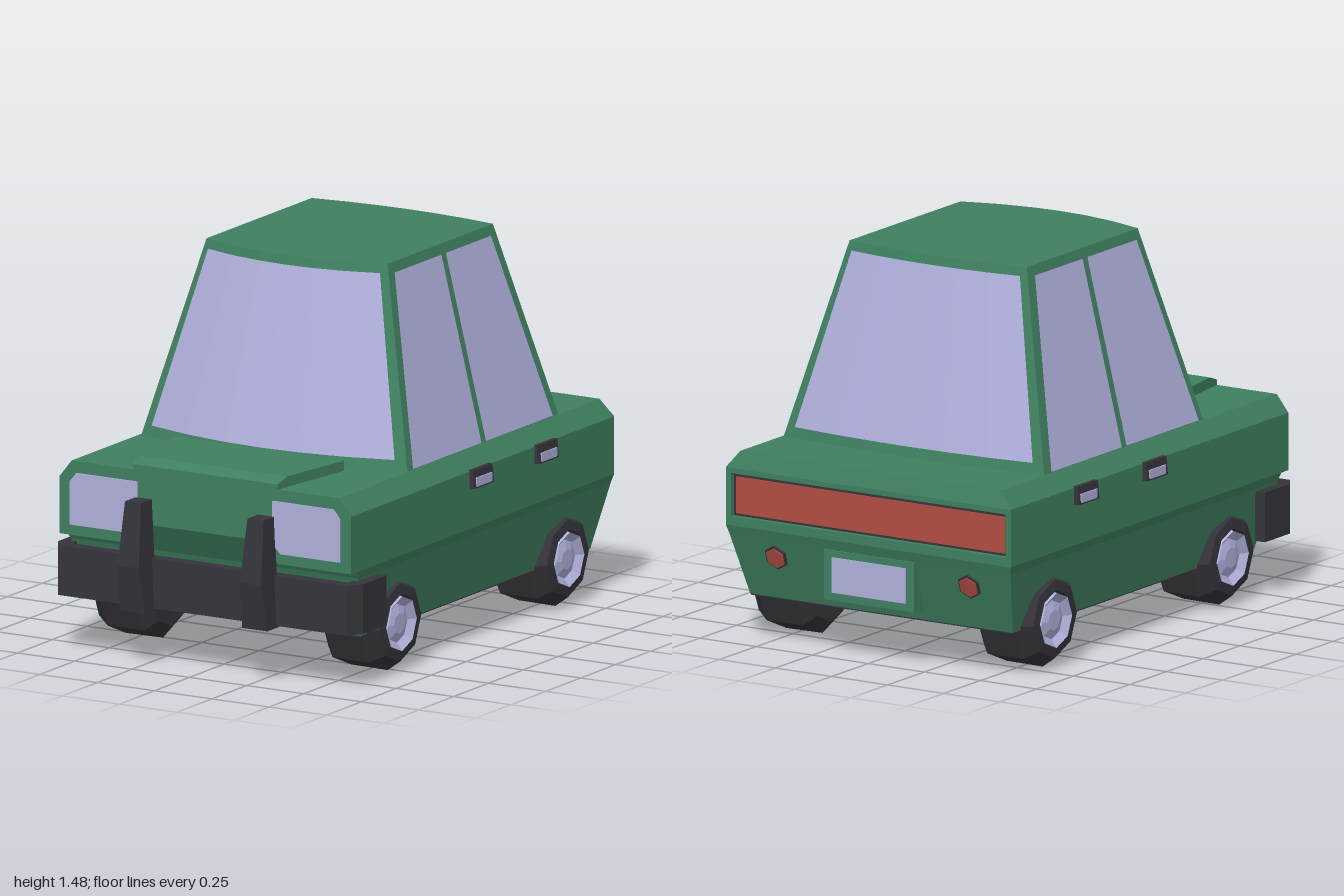
import * as THREE from 'three';

const mat = (name, color) => {
  const m = new THREE.MeshStandardMaterial({ color });
  m.name = name;
  return m;
};
const lerp = THREE.MathUtils.lerp;

// Joins rings of [x, y, z] points with flat faces; cap closes the last ring.
function loft(rings, closed = true, cap = true) {
  const pos = [];
  const tri = (...p) => p.forEach((q) => pos.push(...q));
  const n = rings[0].length;
  for (let r = 0; r + 1 < rings.length; r++) {
    const lo = rings[r], hi = rings[r + 1];
    for (let i = 0; i < (closed ? n : n - 1); i++) {
      const j = (i + 1) % n;
      tri(lo[i], lo[j], hi[j]);
      tri(lo[i], hi[j], hi[i]);
    }
  }
  const top = rings[rings.length - 1];
  if (closed && cap) for (let i = 1; i < n - 1; i++) tri(top[0], top[i], top[i + 1]);
  const g = new THREE.BufferGeometry();
  g.setAttribute('position', new THREE.Float32BufferAttribute(pos, 3));
  g.computeVertexNormals();
  return g;
}

const shapeOf = (pts) => new THREE.Shape(pts.map(([a, b]) => new THREE.Vector2(a, b)));

// Side profile of [z, y] points pulled across x from -0.5 to 0.5, then scaled by a width rule.
function sideProfile(pts, width) {
  const g = new THREE.ExtrudeGeometry(shapeOf(pts), { depth: 1, bevelEnabled: false });
  g.translate(0, 0, -0.5).rotateY(-Math.PI / 2);
  const p = g.attributes.position;
  for (let i = 0; i < p.count; i++) p.setX(i, p.getX(i) * width(p.getY(i), p.getZ(i)));
  g.computeVertexNormals();
  return g;
}

export function createModel() {
  const car = new THREE.Group();
  car.name = 'car';
  const green = mat('green paint', 0x3f8060);
  const black = mat('black trim', 0x36343b);
  const glass = mat('pale glass', 0xb0b0dc);
  const red = mat('red lamp', 0xb24d43);

  const add = (name, geo, material, x = 0, y = 0, z = 0) => {
    const m = new THREE.Mesh(geo, material);
    m.name = name;
    m.position.set(x, y, z);
    car.add(m);
    return m;
  };
  const box = (name, material, x0, x1, y0, y1, z0, z1) =>
    add(name, new THREE.BoxGeometry(x1 - x0, y1 - y0, z1 - z0), material,
      (x0 + x1) / 2, (y0 + y1) / 2, (z0 + z1) / 2);

  // Lower body: [height, half width, front z, rear z], with a channel for the rear lamp
  const levels = [
    [0.175, 0.585, 0.73, -0.91], [0.42, 0.627, 0.82, -0.99], [0.45, 0.635, 0.838, -1],
    [0.485, 0.635, 0.858, -1], [0.485, 0.635, 0.858, -0.975], [0.53, 0.635, 0.885, -0.975],
    [0.65, 0.635, 0.885, -0.975], [0.65, 0.635, 0.885, -1], [0.67, 0.635, 0.885, -1],
    [0.735, 0.583, 0.885, -0.98],
  ];
  add('body', loft(levels.map(([y, w, f, r]) => [[w, y, f], [w, y, r], [-w, y, r], [-w, y, f]])), green);
  box('underside', black, -0.582, 0.582, 0.17, 0.176, -0.908, 0.728);

  // Raised hood panel, narrowing to the front
  add('hood', sideProfile(
    [[0.5, 0.7], [0.887, 0.7], [0.887, 0.755], [0.83, 0.775], [0.5, 0.775]],
    (y, z) => lerp(0.74, 0.63, (z - 0.5) / 0.387)), green);

  // Cabin with bowed front and rear; t runs from its base to the roof, u across
  const front = (u, t, out = 0) => [u * lerp(0.58, 0.395, t), lerp(0.735, 1.475, t),
    lerp(0.39, 0.228, t) + lerp(0.105, 0.075, t) * (1 - u * u) + out];
  const rear = (u, t, out = 0) => [u * lerp(0.58, 0.395, t), lerp(0.735, 1.475, t),
    lerp(-0.69, -0.525, t) - lerp(0.04, 0.035, t) * (1 - u * u) - out];
  const steps = [-1, -0.65, -0.3, 0, 0.3, 0.65, 1];
  const cabinRing = (t) => [...steps.map((u) => front(u, t)), ...steps.map((u) => rear(-u, t))];
  add('cabin', loft([cabinRing(0), cabinRing(1)]), green);

  // Windscreen and rear window
  const spans = [0.055, 0.955];
  add('windscreen', loft(spans.map((t) => steps.map((u) => front(u * 0.93, t, 0.005))), false), glass);
  add('rearWindow', loft(spans.map((t) => steps.map((u) => rear(-u * 0.93, t, 0.005))), false), glass);

  // Side windows: [base front z, base rear z, top front z, top rear z]
  for (const s of [1, -1]) {
    for (const [bf, br, tf, tr] of [[0.355, -0.135, 0.2, -0.135], [-0.167, -0.645, -0.167, -0.49]]) {
      const row = (t, f, r) => {
        const x = s * (lerp(0.58, 0.395, t) + 0.004), y = lerp(0.735, 1.475, t);
        return s > 0 ? [[x, y, f], [x, y, r]] : [[x, y, r], [x, y, f]];
      };
      add('sideWindow', loft([row(0.005, bf, br), row(0.95, tf, tr)], false), glass);
    }
  }

  // Door handles
  for (const s of [1, -1]) {
    for (const z of [-0.035, -0.5]) {
      const handle = sideProfile([[z - 0.07, 0.605], [z + 0.07, 0.605], [z + 0.07, 0.675], [z - 0.07, 0.675]],
        (y) => (y > 0.65 ? 0.03 : 0.044));
      add('doorHandle', handle, black, s * 0.634);
      const grip = new THREE.BoxGeometry(0.006, 0.034, 0.11);
      add('handleGrip', grip, glass, s * 0.655, 0.628, z);
    }
  }

  // Headlights on their housings
  for (const s of [1, -1]) {
    const [a, b] = s > 0 ? [0.3, 0.635] : [-0.635, -0.3];
    box('headlightHousing', green, a, b, 0.45, 0.67, 0.8, 0.886);
    const pts = [[0.295, 0.525], [0.33, 0.49], [0.59, 0.49], [0.59, 0.655], [0.56, 0.69], [0.295, 0.69]];
    const lens = new THREE.ExtrudeGeometry(shapeOf(pts.map(([x, y]) => [s * x, y])),
      { depth: 0.006, bevelEnabled: false });
    add('headlight', lens, glass, 0, 0, 0.885);
  }

  // Front bumper wrapping around the corners
  const half = [[0.665, 0.68], [0.665, 0.85], [0.63, 0.905]];
  const inner = [[0.6, 0.85], [0.62, 0.68]];
  const flip = (pts) => pts.map(([x, z]) => [-x, z]).reverse();
  const bumperOutline = [...half, ...flip(half), ...flip(inner), ...inner];
  const bumper = new THREE.ExtrudeGeometry(shapeOf(bumperOutline), { depth: 0.19, bevelEnabled: false });
  bumper.rotateX(Math.PI / 2);
  add('frontBumper', bumper, black, 0, 0.408, 0);
  for (const s of [1, -1]) {
    add('bumperGuard', sideProfile(
      [[0.885, 0.21], [0.97, 0.21], [1, 0.39], [0.965, 0.63], [0.888, 0.63]],
      (y) => lerp(0.11, 0.07, (y - 0.21) / 0.42)), black, s * 0.267);
  }

  // Rear lamp strip set into its channel
  box('rearLampRecess', black, -0.612, 0.612, 0.485, 0.65, -0.979, -0.97);
  box('rearLamp', red, -0.6, 0.6, 0.495, 0.635, -0.985, -0.976);
  box('rearLampTopEdge', black, -0.612, 0.612, 0.645, 0.65, -0.998, -0.975);
  for (const s of [1, -1]) {
    box('rearLampEnd', green, Math.min(s * 0.612, s * 0.635), Math.max(s * 0.612, s * 0.635),
      0.485, 0.65, -1, -0.97);
    // Round lower lamps
    for (const [r, depth, m] of [[0.05, 0.012, black], [0.042, 0.02, red]]) {
      const lamp = add('lowerRearLamp', new THREE.CylinderGeometry(r, r, depth, 6).toNonIndexed(), m,
        s * 0.43, 0.345, -0.968);
      lamp.geometry.computeVertexNormals();
      lamp.rotation.x = -Math.PI / 2 - 0.33;
    }
  }

  // Number plate and its frame
  box('plateFrame', green, -0.2, 0.2, 0.22, 0.41, -0.995, -0.9);
  box('numberPlate', glass, -0.165, 0.165, 0.25, 0.385, -1, -0.993);

  // Wheels: eight-sided tyre and dished hub
  const turned = (pts) => {
    const g = new THREE.LatheGeometry(pts.map(([r, y]) => new THREE.Vector2(r, y)), 8).toNonIndexed();
    g.rotateZ(-Math.PI / 2);
    g.computeVertexNormals();
    return g;
  };
  const tyre = turned([[0, 0.37], [0.14, 0.37], [0.188, 0.41], [0.19, 0.57], [0.15, 0.625], [0.11, 0.63], [0.1, 0.6]]);
  const hub = turned([[0.112, 0.6], [0.105, 0.633], [0.075, 0.61], [0.04, 0.622], [0, 0.622]]);
  for (const z of [0.515, -0.685]) {
    for (const s of [1, -1]) {
      const tyreMesh = add('tyre', tyre, black, 0, 0.19, z);
      const hubMesh = add('wheelHub', hub, glass, 0, 0.185, z);
      if (s < 0) tyreMesh.rotation.y = hubMesh.rotation.y = Math.PI;
    }
  }
  return car;
}
